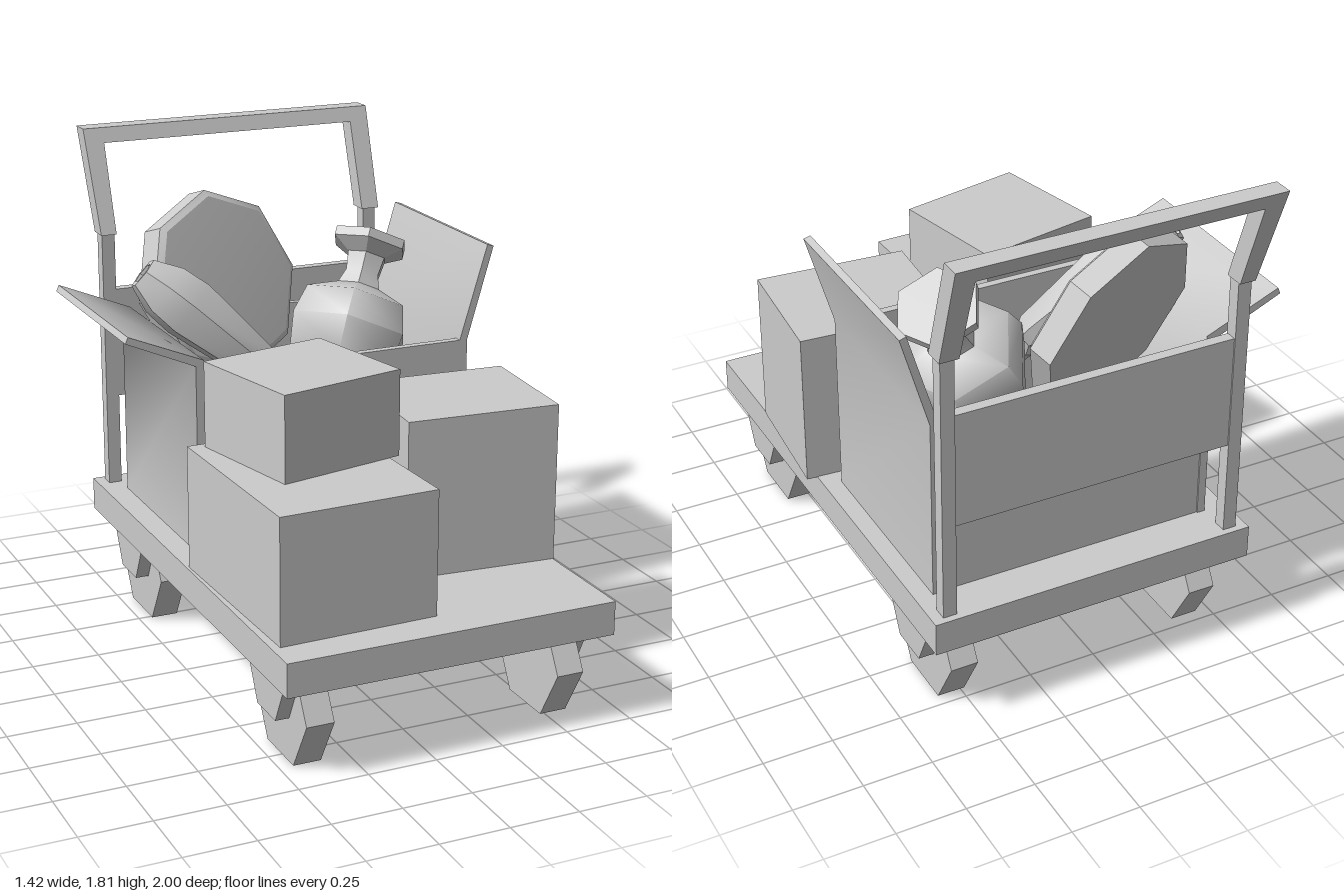
import * as THREE from 'three';
import { toCreasedNormals } from 'three/addons/utils/BufferGeometryUtils.js';

const grey = new THREE.MeshStandardMaterial({ color: 0xcccccc, flatShading: true });
const smooth = new THREE.MeshStandardMaterial({ color: 0xcccccc, side: THREE.DoubleSide });

export function createModel() {
  const model = new THREE.Group();

  function add(name, geometry, material = grey) {
    const mesh = new THREE.Mesh(geometry, material);
    mesh.name = name;
    model.add(mesh);
    return mesh;
  }

  // Axis-aligned block given by its limits
  function block(name, x0, x1, y0, y1, z0, z1) {
    const g = new THREE.BoxGeometry(x1 - x0, y1 - y0, z1 - z0);
    return add(name, g.translate((x0 + x1) / 2, (y0 + y1) / 2, (z0 + z1) / 2));
  }

  const shapeOf = (pts) => new THREE.Shape(pts.map(([a, b]) => new THREE.Vector2(a, b)));
  const extrude = (pts, depth) =>
    new THREE.ExtrudeGeometry(shapeOf(pts), { depth, bevelEnabled: false });

  // Closed carton from its floor corners (x, z) and height limits
  function carton(name, corners, y0, y1) {
    const g = extrude(corners.map(([x, z]) => [x, -z]), y1 - y0);
    add(name, g.rotateX(-Math.PI / 2).translate(0, y0, 0));
  }

  // Faceted turned object: profile of (radius, height), rolled and placed along an axis
  function turned(name, profile, sides, crease, position, axis, roll) {
    const pts = profile.map(([r, h]) => new THREE.Vector2(r, h));
    const g = toCreasedNormals(new THREE.LatheGeometry(pts, sides).rotateY(roll), crease);
    const mesh = add(name, g, smooth);
    mesh.position.set(...position);
    mesh.quaternion.setFromUnitVectors(
      new THREE.Vector3(0, 1, 0), new THREE.Vector3(...axis).normalize());
  }

  // Platform
  block('platform', -0.54, 0.67, 0.33, 0.452, -0.875, 1.0);

  // Hexagonal wheels with a tapered bracket on the outer side
  for (const z of [0.735, -0.597]) {
    for (const [wheelX, bracketX] of [[-0.4, -0.5], [0.535, 0.585]]) {
      const wheel = new THREE.CylinderGeometry(0.215, 0.215, 0.1, 6);
      add('wheel', wheel.rotateZ(Math.PI / 2).translate(wheelX, 0.187, z));
      const bracket = extrude([[-0.16, 0.33], [-0.075, 0.16], [0.075, 0.16], [0.16, 0.33]], 0.055);
      add('wheelBracket', bracket.rotateY(Math.PI / 2).translate(bracketX, 0, z));
    }
  }

  // Back posts and panel
  block('rightPost', -0.5, -0.45, 0.45, 1.45, -0.85, -0.8);
  block('leftPost', 0.58, 0.63, 0.45, 1.45, -0.85, -0.8);
  block('backPanel', -0.45, 0.58, 0.8, 1.22, -0.845, -0.805);

  // Handle: an upside-down U leaning backwards
  const handle = extrude([
    [-0.505, 1.435], [-0.445, 1.435], [-0.445, 1.76], [0.57, 1.76],
    [0.57, 1.435], [0.64, 1.435], [0.645, 1.815], [-0.52, 1.815],
  ], 0.075);
  const p = handle.attributes.position;
  for (let i = 0; i < p.count; i++) {
    p.setZ(i, p.getZ(i) - 0.865 - 0.345 * (p.getY(i) - 1.435));
  }
  handle.computeVertexNormals();
  add('handle', handle);

  // Large open carton: floor, front and back, and side walls that run into open flaps
  block('openCartonFloor', -0.43, 0.58, 0.45, 0.47, -0.715, 0.03);
  block('openCartonFront', -0.43, 0.58, 0.45, 1.12, 0.0, 0.03);
  block('openCartonBack', -0.43, 0.58, 0.45, 1.12, -0.715, -0.69);
  const sideProfiles = {
    openCartonRight: [[-0.455, 0.45], [-0.425, 0.45], [-0.425, 1.17],
      [-0.7, 1.285], [-0.71, 1.262], [-0.455, 1.15]],
    openCartonLeft: [[0.575, 0.45], [0.605, 0.45], [0.605, 1.12],
      [0.705, 1.46], [0.68, 1.467], [0.575, 1.12]],
  };
  for (const [name, pts] of Object.entries(sideProfiles)) {
    const side = extrude(pts, 0.75).translate(0, 0, -0.72);
    add(name, toCreasedNormals(side, 1.2), smooth);
  }

  // Closed cartons on the front of the platform
  carton('lowCarton', [[-0.53, 0.125], [0.04, 0.115], [0.065, 0.86], [-0.51, 0.878]], 0.45, 0.9);
  carton('topCarton', [[-0.475, 0.155], [0, 0.06], [0.093, 0.51], [-0.375, 0.612]], 0.9, 1.207);
  carton('tallCarton', [[0.145, 0.063], [0.708, 0.1], [0.673, 0.58], [0.113, 0.54]], 0.45, 1.025);

  // Octagonal dish leaning on the back of the open carton
  turned('dish', [
    [0, -0.09], [0.35, -0.09], [0.35, 0], [0.325, 0.015], [0, 0.03],
  ], 8, 0.5, [-0.107, 1.272, -0.55], [0.33, 0.31, 0.89], 0.36);

  // Hexagonal club with a hollow end, thick end up
  turned('club', [
    [0, -0.01], [0.07, -0.01], [0.07, 0.025], [0.045, 0.05], [0.07, 0.09], [0.12, 0.5],
    [0.11, 0.61], [0.065, 0.71], [0.043, 0.71], [0.035, 0.65], [0, 0.65],
  ], 6, 0.5, [0, 0.945, -0.14], [-0.49, 0.44, -0.2], 0);

  // Hexagonal vase: foot, round body, neck and wide lip
  const vaseParts = {
    vaseBody: [[0, -0.24], [0.13, -0.22], [0.22, -0.11], [0.24, 0.02],
      [0.21, 0.13], [0.08, 0.19], [0, 0.19]],
    vaseFoot: [[0, -0.33], [0.15, -0.33], [0.15, -0.28], [0.08, -0.2]],
    vaseNeckAndLip: [[0.1, 0.16], [0.07, 0.24], [0.08, 0.31],
      [0.15, 0.35], [0.15, 0.385], [0, 0.385]],
  };
  for (const [name, profile] of Object.entries(vaseParts)) {
    const crease = name === 'vaseBody' ? 1.1 : 0.5;
    turned(name, profile, 6, crease, [0.305, 1.07, -0.355], [0.41, 0.85, -0.34], Math.PI / 6);
  }

  return model;
}
